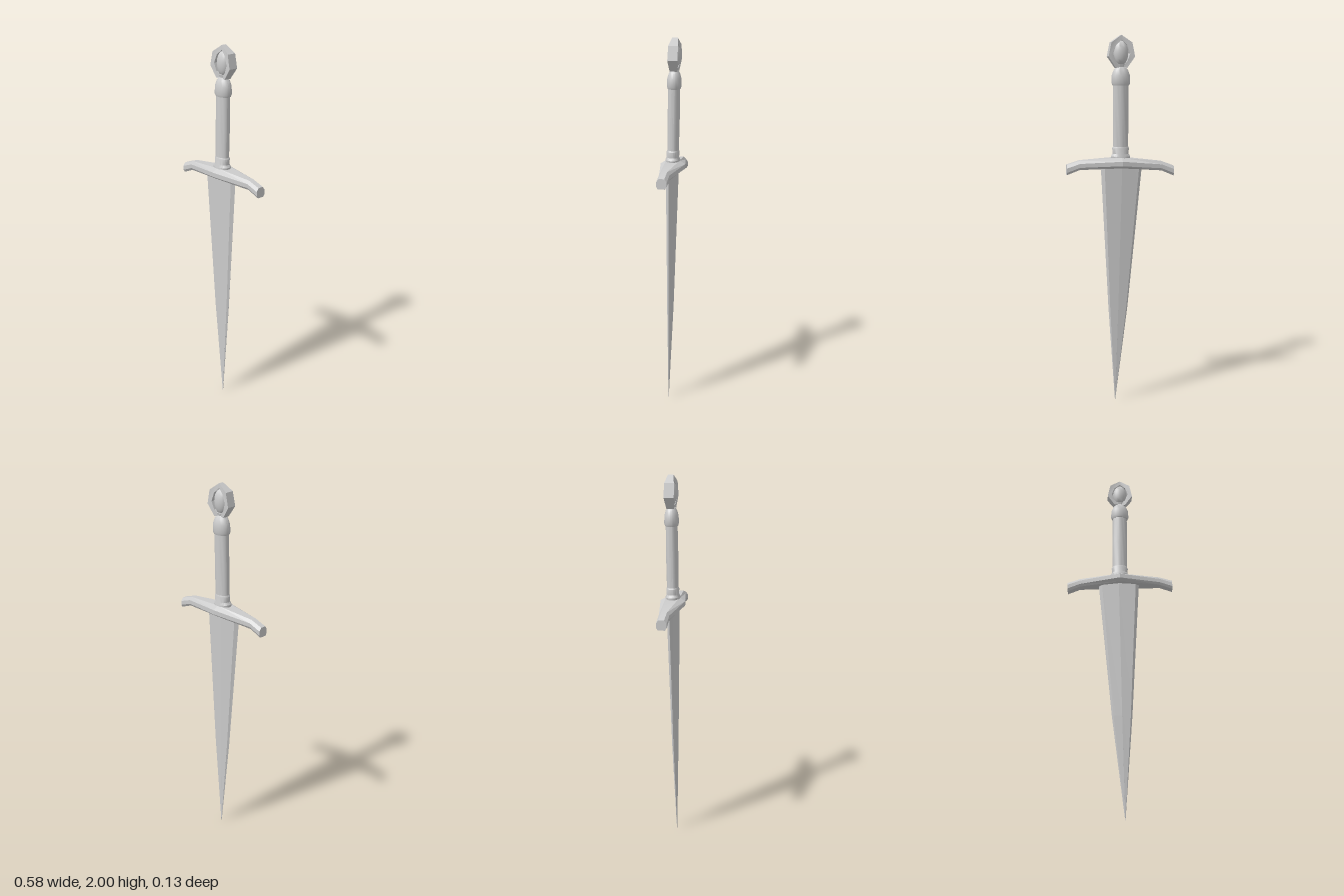
import * as THREE from 'three';
import { toCreasedNormals } from 'three/addons/utils/BufferGeometryUtils.js';

const material = new THREE.MeshStandardMaterial({ color: 0xcccccc, side: THREE.DoubleSide });

function part(name, geometry, crease = 0.5) {
  const mesh = new THREE.Mesh(toCreasedNormals(geometry, crease), material);
  mesh.name = name;
  return mesh;
}

// Skin a list of equal-length rings of [x, y, z] points and cap both ends.
function loft(rings) {
  const n = rings[0].length;
  const index = [];
  for (let r = 0; r < rings.length - 1; r++) {
    for (let i = 0; i < n; i++) {
      const a = r * n + i, b = r * n + (i + 1) % n;
      index.push(a, b, a + n, b, b + n, a + n);
    }
  }
  const last = (rings.length - 1) * n;
  for (let i = 1; i < n - 1; i++) {
    index.push(0, i + 1, i, last, last + i, last + i + 1);
  }
  const geometry = new THREE.BufferGeometry();
  geometry.setAttribute('position', new THREE.Float32BufferAttribute(rings.flat(2), 3));
  geometry.setIndex(index);
  return geometry;
}

// Ridged, bevel-edged blade that leans slightly toward its tip
function makeBlade() {
  const stations = [ // y, centre x, centre z, half width, half thickness
    [0, 0.027, 0.02, 0.001, 0.001],
    [0.54, 0.012, 0.012, 0.053, 0.012],
    [1.34, -0.006, 0.003, 0.113, 0.022],
  ];
  const section = [[1, 0], [0.84, -0.75], [0, -1], [-0.84, -0.75],
    [-1, 0], [-0.84, 0.75], [0, 1], [0.84, 0.75]];
  const rings = stations.map(([y, cx, cz, w, t]) =>
    section.map(([u, v]) => [cx + u * w, y, cz + v * t + u * w * 0.024]));
  return part('blade', loft(rings), 0.02);
}

// Drooping crossguard, deepest in the middle
function makeGuard() {
  const stations = [ // x, bottom y, top y, half depth
    [-0.288, -0.065, -0.012, 0.027],
    [-0.22, -0.038, 0.011, 0.027],
    [0, -0.025, 0.03, 0.066],
    [0.22, -0.038, 0.011, 0.027],
    [0.288, -0.065, -0.012, 0.027],
  ];
  const section = [[-0.55, 1], [0.55, 1], [1, 0.35], [1, -0.5],
    [0.7, -1], [-0.7, -1], [-1, -0.5], [-1, 0.35]];
  const rings = stations.map(([x, low, high, d]) => section.map(([u, v]) =>
    [x, (low + high) / 2 + v * (high - low) / 2, u * d]).reverse());
  const guard = part('crossguard', loft(rings), 0.25);
  guard.position.y = 1.336;
  guard.rotation.set(0, -0.024, 0.027);
  return guard;
}

// Oval turned part from a profile of [radius, y]
function turned(name, profile) {
  const geometry = new THREE.LatheGeometry(profile.map(([r, y]) => new THREE.Vector2(r, y)), 24);
  geometry.scale(1, 1, 0.75);
  return part(name, geometry, 0.6);
}

// Faceted ring with a pointed opening, thinner toward its top
function makePommelRing() {
  const mirror = (pts) => [...pts, ...pts.filter(([x]) => x > 0).reverse().map(([x, y]) => [-x, y])]
    .map(([x, y]) => new THREE.Vector2(x, y));
  const shape = new THREE.Shape(mirror([[0, 2], [0.055, 1.962], [0.07, 1.89], [0.03, 1.832]]));
  shape.holes.push(new THREE.Path(mirror(
    [[0, 1.975], [0.03, 1.948], [0.045, 1.905], [0.03, 1.865], [0, 1.838]])));
  const geometry = new THREE.ExtrudeGeometry(shape, { depth: 2, bevelEnabled: false });
  geometry.translate(0, 0, -1);
  const p = geometry.attributes.position;
  for (let i = 0; i < p.count; i++) {
    const half = 0.014 + 0.012 * Math.min(1, Math.abs(p.getX(i)) / 0.06);
    p.setZ(i, p.getZ(i) * half);
  }
  return part('pommelRing', geometry, 0.4);
}

export function createModel() {
  const model = new THREE.Group();
  model.name = 'dagger';
  model.add(makeBlade(), makeGuard());

  // Hilt leans back a little
  const hilt = new THREE.Group();
  hilt.name = 'hilt';
  hilt.rotation.x = -0.018;
  hilt.position.z = 0.025;
  hilt.add(
    turned('lowerCollar', [[0, 1.35], [0.05, 1.35], [0.052, 1.372], [0.043, 1.385],
      [0.045, 1.415], [0.039, 1.425], [0, 1.425]]),
    turned('grip', [[0, 1.4], [0.04, 1.4], [0.042, 1.58], [0.04, 1.76], [0, 1.76]]),
    turned('upperCollar', [[0, 1.742], [0.044, 1.742], [0.05, 1.755], [0.048, 1.795],
      [0.038, 1.822], [0.024, 1.838], [0.028, 1.852], [0, 1.856]]),
    makePommelRing(),
  );

  // Oval stone held in the ring
  const stone = new THREE.SphereGeometry(1, 20, 14);
  stone.scale(0.039, 0.064, 0.03);
  stone.translate(0, 1.907, 0);
  hilt.add(part('pommelStone', stone, 0.8));

  model.add(hilt);
  return model;
}
